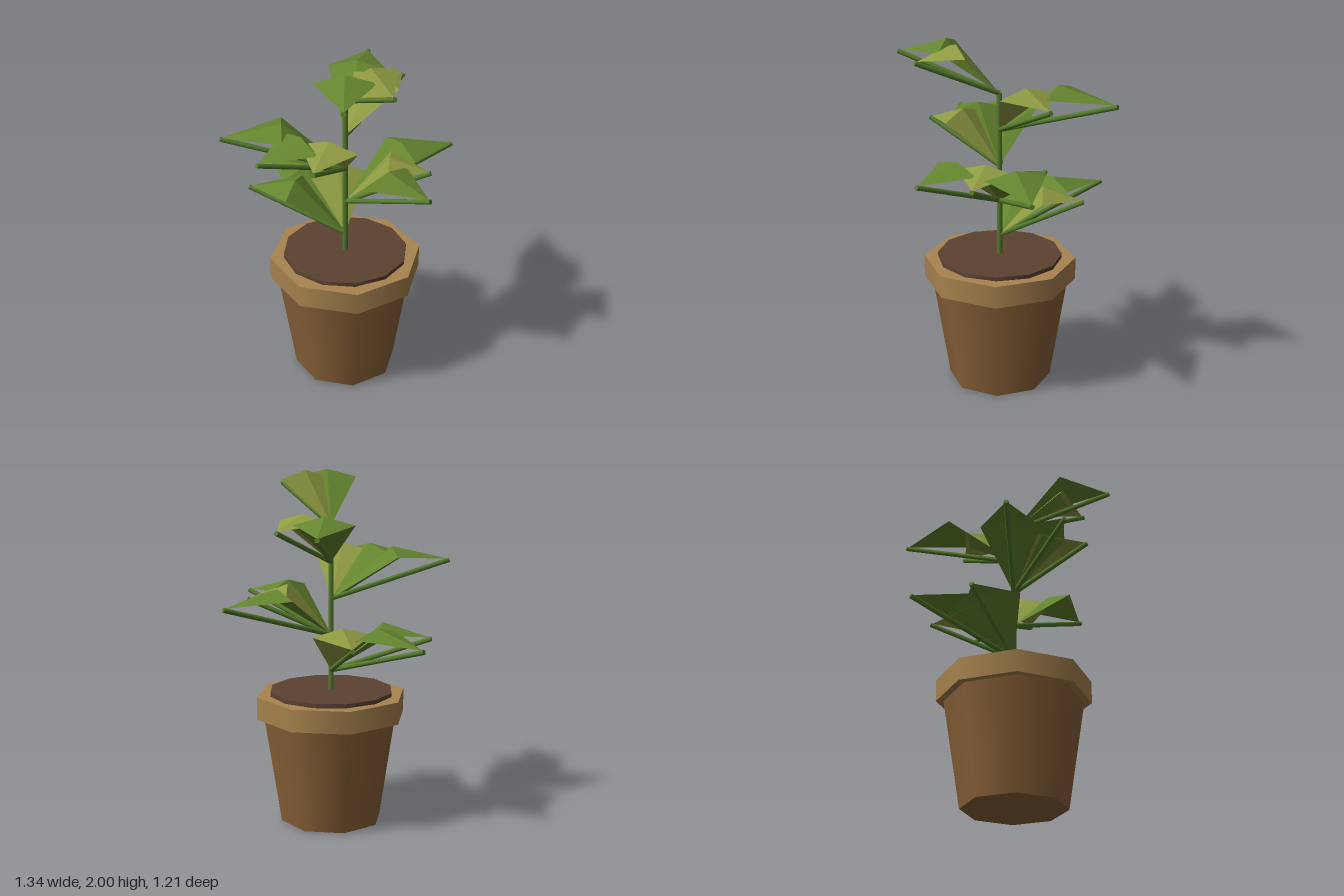
import * as THREE from 'three';

const AXIS_X = 0.01, AXIS_Z = 0.035; // plant axis
const mat = (color, extra = {}) => new THREE.MeshStandardMaterial({ color, ...extra });

const potMat = mat(0x8a6238);
const rimMat = mat(0xa8834f);
const soilMat = mat(0x5c4232);
const stemMat = mat(0x557a2c);
const greenMat = mat(0x65852f, { flatShading: true, side: THREE.DoubleSide });
const limeMat = mat(0x8f9a42, { flatShading: true, side: THREE.DoubleSide });

// Leaf sizes: overall reach from the stem and position of the widest point
const SIZES = {
  large: { reach: 0.68, mid: 0.347, material: greenMat },
  medium: { reach: 0.572, mid: 0.296, material: greenMat },
  small: { reach: 0.472, mid: 0.245, material: limeMat },
};

// Leaf tiers from bottom to top: [size, heading in degrees from +x towards +z]
const TIERS = [
  [['large', -122.3], ['medium', -154.5], ['small', -90]],
  [['large', -17.5], ['medium', 47.2], ['small', 14.8]],
  [['large', -174.5], ['medium', 152.7], ['small', 120]],
  [['large', -69.8], ['small', -37.8]],
  [['medium', 99.9], ['small', 67.5]],
];

function cylinder(name, rTop, rBottom, y0, y1, sides, material) {
  const mesh = new THREE.Mesh(new THREE.CylinderGeometry(rTop, rBottom, y1 - y0, sides), material);
  mesh.position.y = (y0 + y1) / 2;
  mesh.name = name;
  return mesh;
}

// Straight round rod between two points
function rod(name, a, b, radius, material) {
  const dir = b.clone().sub(a);
  const mesh = new THREE.Mesh(new THREE.CylinderGeometry(radius, radius, dir.length(), 8), material);
  mesh.position.copy(a).add(b).multiplyScalar(0.5);
  mesh.quaternion.setFromUnitVectors(new THREE.Vector3(0, 1, 0), dir.normalize());
  mesh.name = name;
  return mesh;
}

// Four-faced folded blade pointing along +x, arched above its stalk
function bladeGeometry({ reach, mid }) {
  const base = [0, 0, 0], ridge = [mid, 0.29, 0], tip = [reach - 0.01, 0.212, 0];
  const left = [mid, 0.245, -0.167], right = [mid, 0.245, 0.167];
  const faces = [base, ridge, left, base, right, ridge, left, ridge, tip, ridge, right, tip];
  const geo = new THREE.BufferGeometry();
  geo.setAttribute('position', new THREE.Float32BufferAttribute(faces.flat(), 3));
  geo.computeVertexNormals();
  return geo;
}

function makeLeaf(size, heading) {
  const spec = SIZES[size];
  const leaf = new THREE.Group();
  leaf.name = size + 'Leaf';
  const blade = new THREE.Mesh(bladeGeometry(spec), spec.material);
  blade.name = 'blade';
  const stalk = rod('leafStalk', new THREE.Vector3(0, 0, 0),
    new THREE.Vector3(spec.reach, 0.205, 0), 0.014, stemMat);
  leaf.add(blade, stalk);
  leaf.rotation.y = -THREE.MathUtils.degToRad(heading);
  return leaf;
}

export function createModel() {
  const model = new THREE.Group();
  model.name = 'pottedPlant';
  const plant = new THREE.Group();
  plant.name = 'plant';
  plant.position.set(AXIS_X, 0, AXIS_Z);
  model.add(plant);

  // Octagonal pot, rim and soil
  plant.add(
    cylinder('pot', 0.393, 0.295, 0, 0.63, 8, potMat),
    cylinder('potRim', 0.434, 0.434, 0.617, 0.745, 8, rimMat),
    cylinder('soil', 0.355, 0.355, 0.7, 0.768, 12, soilMat),
    cylinder('stem', 0.015, 0.015, 0.74, 1.71, 8, stemMat),
  );

  // Tiers of leaves climbing the stem
  TIERS.forEach((leaves, i) => {
    const tier = new THREE.Group();
    tier.name = 'leafTier' + (i + 1);
    tier.position.y = 0.88 + i * 0.2075;
    leaves.forEach(([size, heading]) => tier.add(makeLeaf(size, heading)));
    plant.add(tier);
  });
  return model;
}
